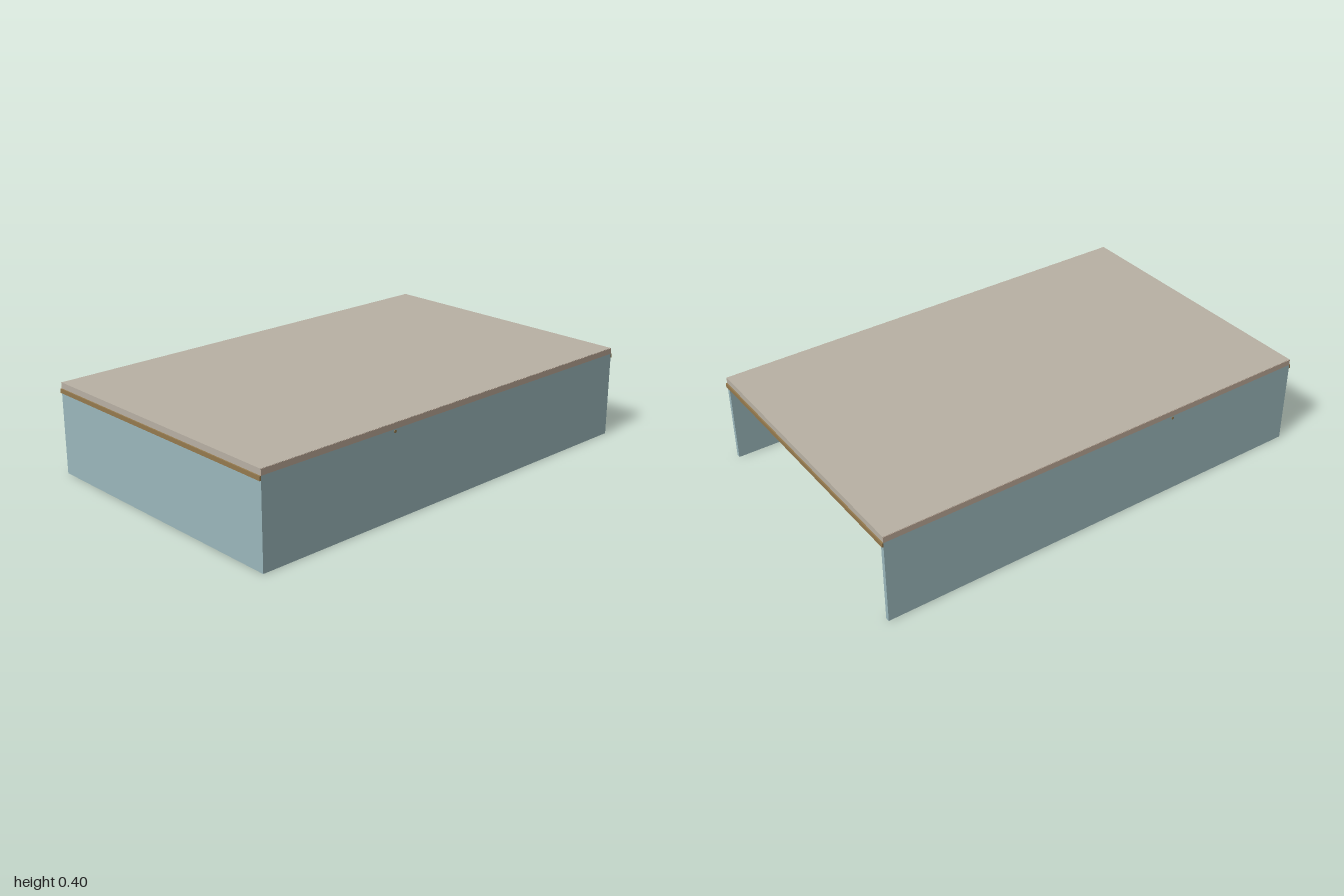
import * as THREE from 'three';

const mat = (name, color) => {
  const m = new THREE.MeshStandardMaterial({ color });
  m.name = name;
  return m;
};

export function createModel() {
  const group = new THREE.Group();
  const teal = mat('paleTeal', 0x9bb8bc);
  const stone = mat('stoneBeige', 0xb9b1a4);
  const brown = mat('bronzeBrown', 0x957a4e);
  const edge = mat('edgeTan', 0xbca897);

  // Box given by its low and high corners
  const box = (name, material, [x0, y0, z0], [x1, y1, z1]) => {
    const mesh = new THREE.Mesh(new THREE.BoxGeometry(x1 - x0, y1 - y0, z1 - z0), material);
    mesh.position.set((x0 + x1) / 2, (y0 + y1) / 2, (z0 + z1) / 2);
    mesh.name = name;
    group.add(mesh);
  };
  const disc = (name, r, h, x, y, z) => {
    const mesh = new THREE.Mesh(new THREE.CylinderGeometry(r, r, h, 20), brown);
    mesh.position.set(x, y, z);
    mesh.name = name;
    group.add(mesh);
    return mesh;
  };

  const W = 0.625, D = 0.994, railY = 0.353, slabY = 0.371, H = 0.397, T = 0.018;

  // Top slab with tan edge strips along its long sides
  box('topSlab', stone, [-W + 0.002, slabY, -D], [W - 0.002, H, D]);

  for (const s of [-1, 1]) {
    const span = (a, b) => [Math.min(s * a, s * b), Math.max(s * a, s * b)];
    const [e0, e1] = span(W - 0.002, W);
    box('slabEdge', edge, [e0, slabY, -D], [e1, H - 0.001, D]);

    // Side panels
    const [p0, p1] = span(W - T, W);
    box('sidePanel', teal, [p0, 0, -D], [p1, slabY, D]);

    // Long rails inside the side panels
    const [r0, r1] = span(W - T - 0.035, W - T);
    box('sideRail', brown, [r0, railY, -D + 0.035], [r1, slabY, D - 0.035]);

    // End rails, with a face that stands slightly proud
    const [z0, z1] = span(D - 0.035, D);
    box('endRail', brown, [-W + T, railY, z0], [W - T, slabY, z1]);
    const [f0, f1] = span(D, 1);
    box('endRailFace', brown, [-W, railY, f0], [W, slabY, f1]);

    // Cross beams and their round fixings
    box('crossBeam', brown, [-W + T + 0.035, railY, s * 0.33 - 0.016], [W - T - 0.035, slabY, s * 0.33 + 0.016]);
    disc('beamFixing', 0.026, 0.024, 0, 0.357, s * 0.345);

    // Small pin through each side panel
    disc('sidePin', 0.006, 0.02, s * (W - 0.008), 0.362, 0.345).rotation.z = Math.PI / 2;
  }

  // Front panel below the rail
  box('frontPanel', teal, [-W + T, 0, D - T], [W - T, railY, D]);

  return group;
}
